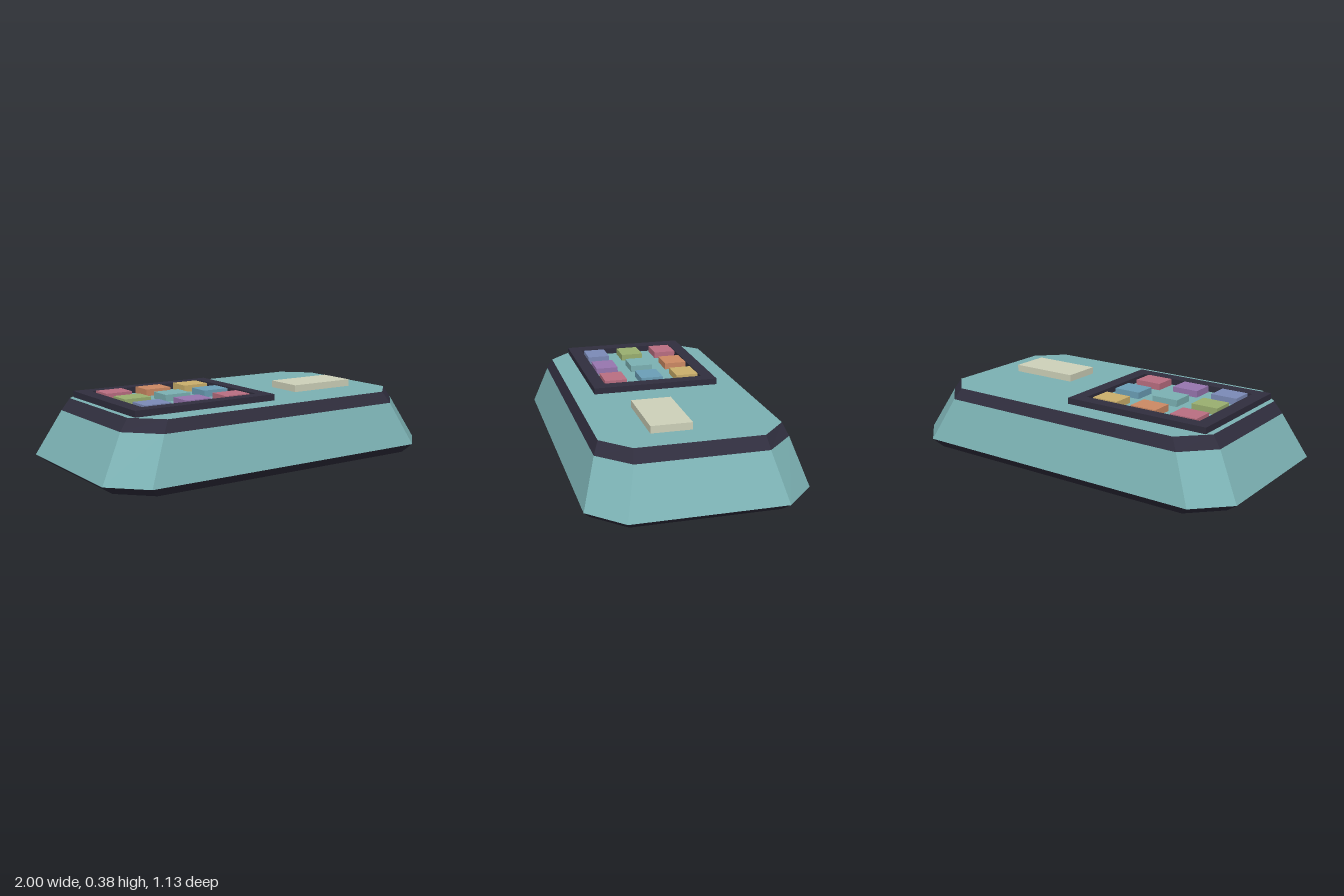
import * as THREE from 'three';

const mat = (name, color) => new THREE.MeshStandardMaterial({ name, color, flatShading: true });

// Chamfered rectangle: half sizes hx, hz; the corner is cut at cx along x and cz along z
function ring({ y, hx, hz, cx, cz }) {
  return [[cx, hz], [hx, cz], [hx, -cz], [cx, -hz], [-cx, -hz], [-hx, -cz], [-hx, cz], [-cx, hz]]
    .map(([x, z]) => new THREE.Vector3(x, y, z));
}

// Lofted band between consecutive rings, with optional flat caps
function loft(levels, { bottom = false, top = false } = {}) {
  const rings = levels.map(ring);
  const pts = [];
  for (let k = 0; k + 1 < rings.length; k++) {
    const a = rings[k], b = rings[k + 1];
    for (let i = 0; i < 8; i++) {
      const j = (i + 1) % 8;
      pts.push(a[i], a[j], b[j], a[i], b[j], b[i]);
    }
  }
  const first = rings[0], last = rings[rings.length - 1];
  for (let i = 1; i < 7; i++) {
    if (bottom) pts.push(first[0], first[i + 1], first[i]);
    if (top) pts.push(last[0], last[i], last[i + 1]);
  }
  const geo = new THREE.BufferGeometry().setFromPoints(pts);
  geo.computeVertexNormals();
  return geo;
}

export function createModel() {
  const model = new THREE.Group();
  model.name = 'controlConsole';

  const dark = mat('darkTrim', 0x302e3e);
  const teal = mat('tealShell', 0x7cb2b4);
  const cream = mat('creamPlate', 0xcfd2ba);
  const pink = mat('pinkKey', 0xbb6f82);
  const orange = mat('orangeKey', 0xcd8a64);
  const yellow = mat('yellowKey', 0xccb06c);
  const green = mat('greenKey', 0x9ab070);
  const blue = mat('blueKey', 0x6ca0b8);
  const lavender = mat('lavenderKey', 0x7c8bb8);
  const purple = mat('purpleKey', 0x9876b0);

  const add = (name, geo, material, parent = model) => {
    const mesh = new THREE.Mesh(geo, material);
    mesh.name = name;
    parent.add(mesh);
    return mesh;
  };

  // Chamfered body levels, from the ground up
  const foot = { y: 0, hx: 0.94, hz: 0.53, cx: 0.785, cz: 0.375 };
  const rim = { y: 0.045, hx: 1, hz: 0.565, cx: 0.83, cz: 0.395 };
  const shoulder = { y: 0.28, hx: 0.87, hz: 0.49, cx: 0.72, cz: 0.335 };
  const deck = { y: 0.342, hx: 0.825, hz: 0.463, cx: 0.685, cz: 0.325 };

  add('base', loft([foot, rim], { bottom: true }), dark);
  add('shell', loft([rim, shoulder]), teal);
  add('trimBand', loft([shoulder, deck]), dark);
  add('topDeck', loft([deck], { top: true }), teal);

  // Raised frame around the keypad
  const outer = new THREE.Shape([[-0.795, -0.345], [0.03, -0.345], [0.03, 0.345], [-0.795, 0.345]]
    .map(([x, y]) => new THREE.Vector2(x, y)));
  outer.holes.push(new THREE.Path([[-0.72, -0.275], [-0.72, 0.275], [-0.04, 0.275], [-0.04, -0.275]]
    .map(([x, y]) => new THREE.Vector2(x, y))));
  const frameGeo = new THREE.ExtrudeGeometry(outer, { depth: 0.034, bevelEnabled: false });
  frameGeo.rotateX(-Math.PI / 2).translate(0, 0.341, 0);
  add('keypadFrame', frameGeo, dark);

  // Three by three keys, back row first
  const keys = new THREE.Group();
  keys.name = 'keypad';
  model.add(keys);
  const keyGeo = new THREE.BoxGeometry(0.15, 0.037, 0.124);
  [[pink, orange, yellow], [green, teal, blue], [lavender, purple, pink]].forEach((row, r) => {
    row.forEach((material, c) => {
      add(`key${r + 1}${c + 1}`, keyGeo, material, keys)
        .position.set(-0.623 + c * 0.237, 0.3595, -0.206 + r * 0.204);
    });
  });

  // Wide plate on the free side of the deck
  add('plate', new THREE.BoxGeometry(0.39, 0.039, 0.213), cream).position.set(0.473, 0.3605, 0.097);

  return model;
}
